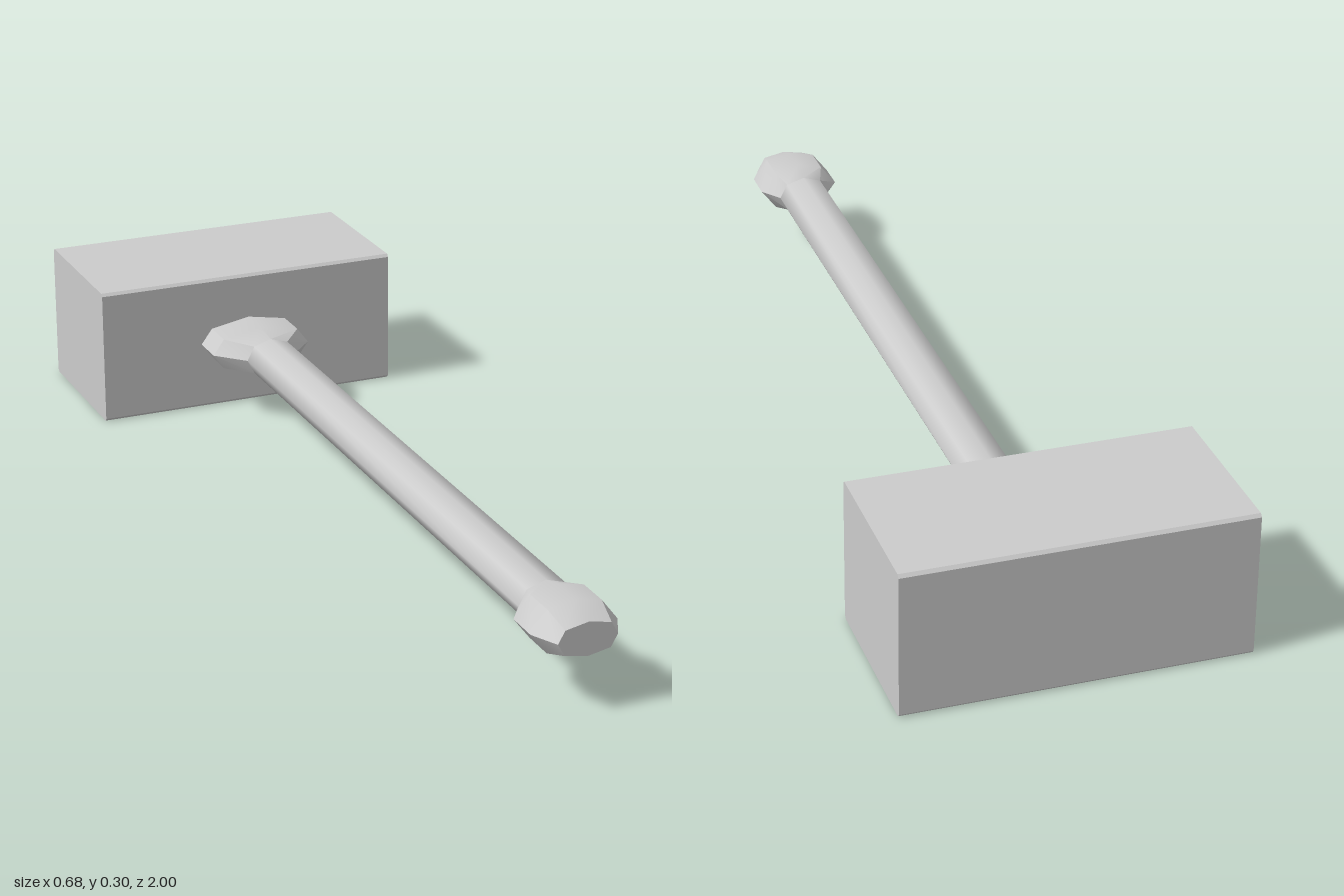
import * as THREE from 'three';
import { toCreasedNormals } from 'three/addons/utils/BufferGeometryUtils.js';

const material = new THREE.MeshStandardMaterial({ color: 0xcccccc });
const AXIS_Y = 0.148;

// Eight-sided loft along z; each ring is [z, side half-width, shoulder x, shoulder y, half-height]
function loft(name, rings, crease, capFront) {
  const pos = [], index = [];
  for (const [z, w, sx, sy, h] of rings) {
    const section = [[w, 0], [sx, sy], [0, h], [-sx, sy], [-w, 0], [-sx, -sy], [0, -h], [sx, -sy]];
    for (const [x, y] of section) pos.push(x, AXIS_Y + y, z);
  }
  for (let i = 0; i < rings.length - 1; i++) {
    for (let j = 0; j < 8; j++) {
      const k = (j + 1) % 8;
      const a = i * 8 + j, b = i * 8 + k, c = b + 8, d = a + 8;
      index.push(a, b, c, a, c, d);
    }
  }
  if (capFront) {
    const last = (rings.length - 1) * 8;
    for (let j = 1; j < 7; j++) index.push(last, last + j, last + j + 1);
  }
  const geometry = new THREE.BufferGeometry();
  geometry.setAttribute('position', new THREE.Float32BufferAttribute(pos, 3));
  geometry.setIndex(index);
  const mesh = new THREE.Mesh(toCreasedNormals(geometry, crease), material);
  mesh.name = name;
  return mesh;
}

// Block with finely chamfered long edges, extruded along x
function makeHead() {
  const y = 0.149, z = 0.17, c = 0.006;
  const profile = new THREE.Shape([
    [-z + c, -y], [z - c, -y], [z, -y + c], [z, y - c],
    [z - c, y], [-z + c, y], [-z, y - c], [-z, -y + c],
  ].map(([a, b]) => new THREE.Vector2(a, b)));
  const geometry = new THREE.ExtrudeGeometry(profile, { depth: 0.68, bevelEnabled: false });
  geometry.translate(0, 0, -0.34);
  geometry.rotateY(Math.PI / 2);
  geometry.translate(0, y, -0.83);
  const mesh = new THREE.Mesh(geometry, material);
  mesh.name = 'head';
  return mesh;
}

export function createModel() {
  const group = new THREE.Group();
  group.name = 'hammer';
  group.add(makeHead());

  // Flared collar where the handle meets the head
  group.add(loft('collar', [
    [-0.67, 0.112, 0.087, 0.034, 0.05],
    [-0.585, 0.112, 0.087, 0.034, 0.05],
    [-0.525, 0.055, 0.039, 0.031, 0.043],
  ], 0.6, false));

  // Smooth oval handle
  group.add(loft('handle', [
    [-0.525, 0.055, 0.039, 0.031, 0.043],
    [0.83, 0.055, 0.039, 0.031, 0.043],
  ], 1.2, false));

  // Faceted pommel with a flat end
  group.add(loft('pommel', [
    [0.83, 0.055, 0.039, 0.031, 0.043],
    [0.875, 0.087, 0.054, 0.043, 0.055],
    [0.945, 0.087, 0.054, 0.043, 0.055],
    [1.0, 0.06, 0.046, 0.025, 0.034],
  ], 0.6, true));

  return group;
}
